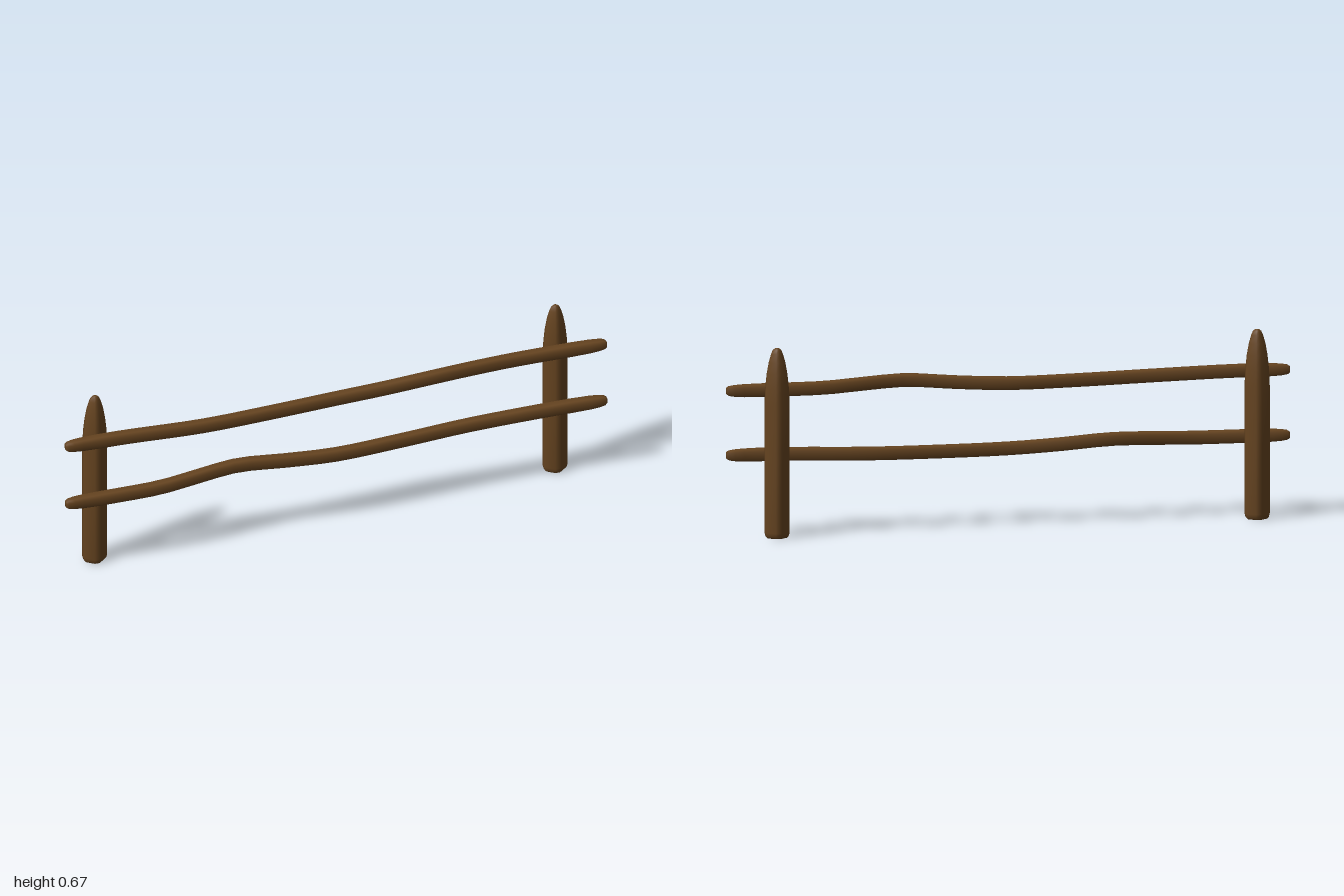
import * as THREE from 'three';

const wood = new THREE.MeshStandardMaterial({ color: 0x664420 });

// Skin a list of rings (arrays of Vector3, counter-clockwise about the travel direction) and close both ends.
function loft(rings) {
  const n = rings[0].length, pos = [], idx = [];
  for (const ring of rings) for (const p of ring) pos.push(p.x, p.y, p.z);
  for (let r = 0; r < rings.length - 1; r++) {
    for (let i = 0; i < n; i++) {
      const a = r * n + i, b = r * n + (i + 1) % n;
      idx.push(a, b, b + n, a, b + n, a + n);
    }
  }
  const last = (rings.length - 1) * n;
  for (let i = 1; i < n - 1; i++) {
    idx.push(0, i + 1, i);
    idx.push(last, last + i, last + i + 1);
  }
  const geo = new THREE.BufferGeometry();
  geo.setAttribute('position', new THREE.Float32BufferAttribute(pos, 3));
  geo.setIndex(idx);
  geo.computeVertexNormals();
  return geo;
}

// Eight-sided section: a rectangle with its corners cut, c being the half width left on each side.
const section = (a, b, ca, cb) => [
  [a, -cb], [a, cb], [ca, b], [-ca, b], [-a, cb], [-a, -cb], [-ca, -b], [ca, -b],
];

// Upright post: bevelled diamond section, rounded foot and pointed top
function makePost(name, x, z) {
  const base = section(0.043, 0.035, 0.011, 0.009);
  const profile = [ // height, scale
    [0, 0.78], [0.006, 0.92], [0.02, 1], [0.25, 1], [0.47, 1], [0.53, 0.94],
    [0.58, 0.82], [0.62, 0.66], [0.65, 0.47], [0.664, 0.33], [0.67, 0.16],
  ];
  const rings = profile.map(([y, s]) => base.map(([u, v]) => new THREE.Vector3(u * s, y, -v * s)));
  const post = new THREE.Mesh(loft(rings), wood);
  post.name = name;
  post.position.set(x, 0, z);
  return post;
}

// Crooked rail running along x, with rounded ends
function makeRail(name, points) {
  const curve = new THREE.CatmullRomCurve3(points.map((p) => new THREE.Vector3(...p)));
  const base = section(0.022, 0.022, 0.013, 0.013);
  const stops = [[0, 0.5], [0.004, 0.72], [0.014, 0.86], [0.03, 0.95]];
  for (let i = 2; i <= 30; i++) stops.push([i / 32, 1]);
  stops.push([0.97, 0.95], [0.986, 0.86], [0.996, 0.72], [1, 0.5]);
  const rings = stops.map(([t, s]) => {
    const c = curve.getPointAt(t);
    return base.map(([u, v]) => new THREE.Vector3(c.x, c.y + u * s, c.z + v * s));
  });
  const rail = new THREE.Mesh(loft(rings), wood);
  rail.name = name;
  return rail;
}

export function createModel() {
  const fence = new THREE.Group();
  fence.name = 'fence';

  fence.add(makePost('rightPost', -0.875, -0.01));
  fence.add(makePost('leftPost', 0.833, -0.045));

  // The lower rail is the same branch as the upper one, turned half round
  const upper = [
    [-1, 0.515, 0.04], [-0.8, 0.515, 0.045], [-0.5, 0.507, 0.054], [-0.25, 0.503, 0.042],
    [0, 0.503, 0.03], [0.18, 0.512, 0.036], [0.36, 0.525, 0.042], [0.5, 0.521, 0.027],
    [0.65, 0.514, 0.011], [0.82, 0.513, 0.011], [1, 0.513, 0.015],
  ];
  const lower = upper.map(([x, y, z]) => [-x, y - 0.23, 0.058 - z]).reverse();
  fence.add(makeRail('upperRail', upper));
  fence.add(makeRail('lowerRail', lower));
  return fence;
}
